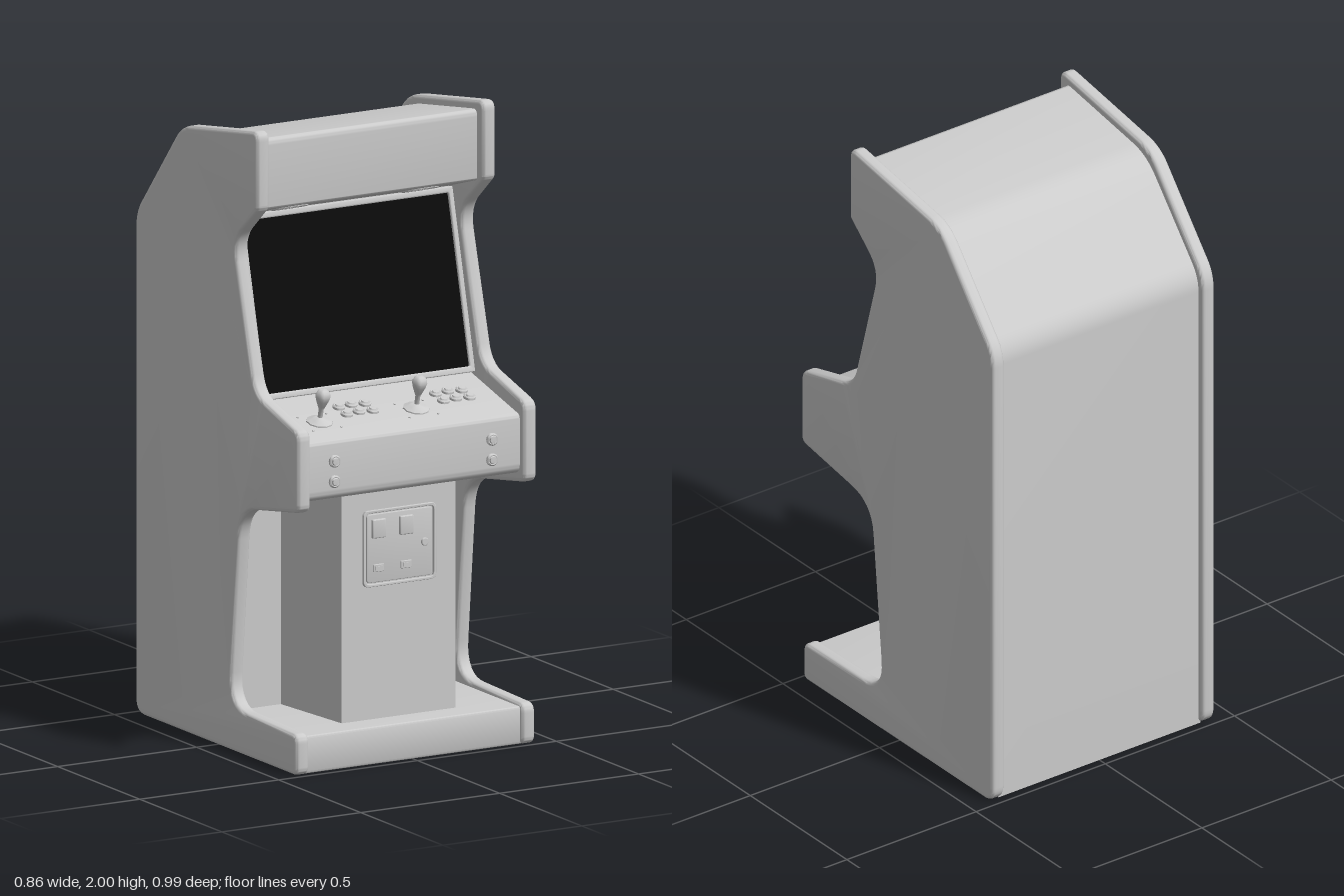
import * as THREE from 'three';
import { toCreasedNormals } from 'three/addons/utils/BufferGeometryUtils.js';

const grey = new THREE.MeshStandardMaterial({ color: 0xcccccc });
const black = new THREE.MeshStandardMaterial({ color: 0x0a0a0a });

function add(parent, name, geometry, x = 0, y = 0, z = 0, material = grey) {
  const mesh = new THREE.Mesh(geometry, material);
  mesh.name = name;
  mesh.position.set(x, y, z);
  parent.add(mesh);
  return mesh;
}

// Closed outline from [x, y, cut]: each corner is rounded starting "cut" away from it
function outline(points, Type = THREE.Shape) {
  const path = new Type();
  const n = points.length;
  points.forEach(([x, y, cut], i) => {
    const corner = new THREE.Vector2(x, y);
    const towards = ([px, py]) =>
      new THREE.Vector2(px, py).sub(corner).normalize().multiplyScalar(cut).add(corner);
    const a = towards(points[(i + n - 1) % n]);
    const b = towards(points[(i + 1) % n]);
    if (i === 0) path.moveTo(a.x, a.y);
    else path.lineTo(a.x, a.y);
    if (cut > 0) path.quadraticCurveTo(x, y, b.x, b.y);
  });
  path.closePath();
  return path;
}

function rectangle(w, h, cut = 0, Type = THREE.Shape) {
  return outline([[-w / 2, -h / 2, cut], [w / 2, -h / 2, cut], [w / 2, h / 2, cut], [-w / 2, h / 2, cut]], Type);
}

// Extrusion with a rounded edge that stays inside the outline and depth
function slab(shape, depth, bevel = 0) {
  const g = new THREE.ExtrudeGeometry(shape, {
    depth: depth - 2 * bevel, curveSegments: 8, bevelEnabled: bevel > 0,
    bevelThickness: bevel, bevelSize: bevel, bevelOffset: -bevel, bevelSegments: 3,
  });
  g.translate(0, 0, bevel);
  return toCreasedNormals(g, 0.6);
}

// Extrude a (z, y) profile across the cabinet width
function across(points, width, bevel = 0) {
  return slab(outline(points), width, bevel).translate(0, 0, -width / 2).rotateY(-Math.PI / 2);
}

function lathe(points, segments = 16) {
  return toCreasedNormals(
    new THREE.LatheGeometry(points.map(([r, y]) => new THREE.Vector2(r, y)), segments), 0.9);
}

export function createModel() {
  const cabinet = new THREE.Group();
  cabinet.name = 'arcadeCabinet';

  // Side panels
  const sideProfile = [
    [0.25, 2.005, 0.035], [-0.215, 1.93, 0.06], [-0.493, 1.6, 0.05], [-0.493, 0, 0.05],
    [0.49, 0, 0.025], [0.49, 0.13, 0.03], [0.08, 0.138, 0.11], [0.142, 0.78, 0.1],
    [0.5, 0.84, 0.025], [0.5, 1.095, 0.03], [0.235, 1.165, 0.06], [0.105, 1.63, 0.07],
    [0.25, 1.755, 0.012],
  ];
  for (const side of [1, -1]) {
    add(cabinet, side > 0 ? 'leftSidePanel' : 'rightSidePanel',
      across(sideProfile, 0.047, 0.012), side * 0.4065);
  }

  // Body between the panels
  add(cabinet, 'body', across([
    [0.215, 1.972, 0.025], [-0.2, 1.905, 0.07], [-0.47, 1.59, 0.05], [-0.47, 0, 0],
    [0.475, 0, 0.008], [0.475, 0.12, 0.008], [0.07, 0.12, 0], [0.07, 0.8, 0],
    [0.475, 0.865, 0.03], [0.475, 1.05, 0.015], [0.18, 1.124, 0], [0.04, 1.69, 0],
    [0.215, 1.745, 0.008],
  ], 0.78));

  // Pedestal narrowing towards the front
  add(cabinet, 'pedestal',
    slab(outline([[-0.205, -0.385, 0], [0.205, -0.385, 0], [0.24, -0.05, 0], [-0.24, -0.05, 0]]), 0.735)
      .rotateX(-Math.PI / 2), 0, 0.115, 0);

  // Screen and its frame
  const display = new THREE.Group();
  display.name = 'display';
  display.position.set(0, 1.407, 0.11);
  display.rotation.x = -0.243;
  cabinet.add(display);
  const frame = rectangle(0.772, 0.58);
  frame.holes.push(rectangle(0.735, 0.542, 0.006, THREE.Path));
  add(display, 'screenFrame', slab(frame, 0.025, 0.004));
  add(display, 'screen', new THREE.BoxGeometry(0.745, 0.555, 0.012), 0, 0, 0.01, black);

  // Speaker grilles under the marquee
  for (const side of [1, -1]) {
    const grille = new THREE.Group();
    grille.name = 'speakerGrille';
    grille.position.set(side * 0.235, 1.714, 0.118);
    grille.rotation.x = -0.305;
    cabinet.add(grille);
    add(grille, 'speakerRim', new THREE.TorusGeometry(0.055, 0.004, 6, 24).rotateX(Math.PI / 2));
    for (let i = -2; i <= 2; i++) {
      const length = 2 * Math.sqrt(0.055 ** 2 - (i * 0.018) ** 2);
      add(grille, 'speakerBar', new THREE.BoxGeometry(length, 0.004, 0.006), 0, 0, i * 0.018);
    }
  }

  // Sloping control deck; local z runs down the slope
  const deck = new THREE.Group();
  deck.name = 'controlDeck';
  deck.position.set(0, 1.115, 0.215);
  deck.rotation.x = 0.245;
  cabinet.add(deck);
  const button = lathe([[0.02, -0.002], [0.02, 0.007], [0.016, 0.01], [0.013, 0.009], [0.011, 0.013], [0, 0.014]]);
  const stickBase = lathe([[0.043, -0.002], [0.042, 0.004], [0.025, 0.011], [0.011, 0.018], [0, 0.018]], 10);
  const stick = lathe([[0.008, 0.01], [0.008, 0.045], [0.012, 0.055], [0.02, 0.075], [0.024, 0.09],
    [0.02, 0.104], [0.011, 0.111], [0, 0.113]]);
  const bolt = new THREE.CylinderGeometry(0.004, 0.004, 0.006, 8);
  for (const x of [-0.265, 0.083]) {
    add(deck, 'joystickBase', stickBase, x, 0, 0.14);
    add(deck, 'joystick', stick, x, 0, 0.14);
    for (const dx of [-0.052, 0.05]) {
      for (const z of [0.095, 0.191]) add(deck, 'bolt', bolt, x + dx, 0, z);
    }
    for (let column = 0; column < 3; column++) {
      for (const z of [0.069, 0.119]) {
        add(deck, 'button', button, x + 0.11 + column * 0.047, 0, z - (column === 1 ? 0.005 : 0));
      }
    }
  }

  // Start buttons on the deck front
  const startButton = button.clone().rotateX(Math.PI / 2);
  for (const x of [-0.285, 0.282]) {
    for (const y of [0.985, 0.92]) add(cabinet, 'startButton', startButton, x, y, 0.474);
  }

  // Coin door
  const door = new THREE.Group();
  door.name = 'coinDoor';
  door.position.set(0, 0.665, 0.384);
  cabinet.add(door);
  const rim = rectangle(0.262, 0.244, 0.02);
  rim.holes.push(rectangle(0.244, 0.226, 0.014, THREE.Path));
  add(door, 'coinDoorRim', slab(rim, 0.01, 0.002));
  add(door, 'coinDoorPlate', slab(rectangle(0.236, 0.218, 0.012), 0.007, 0.002));
  for (const x of [-0.077, 0.022]) {
    add(door, 'coinSlot', slab(rectangle(0.048, 0.06, 0.004), 0.016, 0.003), x, 0.063, 0);
    add(door, 'returnRim', slab(rectangle(0.038, 0.024, 0.003), 0.012, 0.002), x, -0.063, 0);
    add(door, 'returnFlap', new THREE.BoxGeometry(0.024, 0.012, 0.006), x, -0.063, 0.012);
  }
  add(door, 'lock', lathe([[0.013, 0], [0.013, 0.01], [0.01, 0.013], [0, 0.013]]).rotateX(Math.PI / 2), 0.09, 0, 0);

  return cabinet;
}
